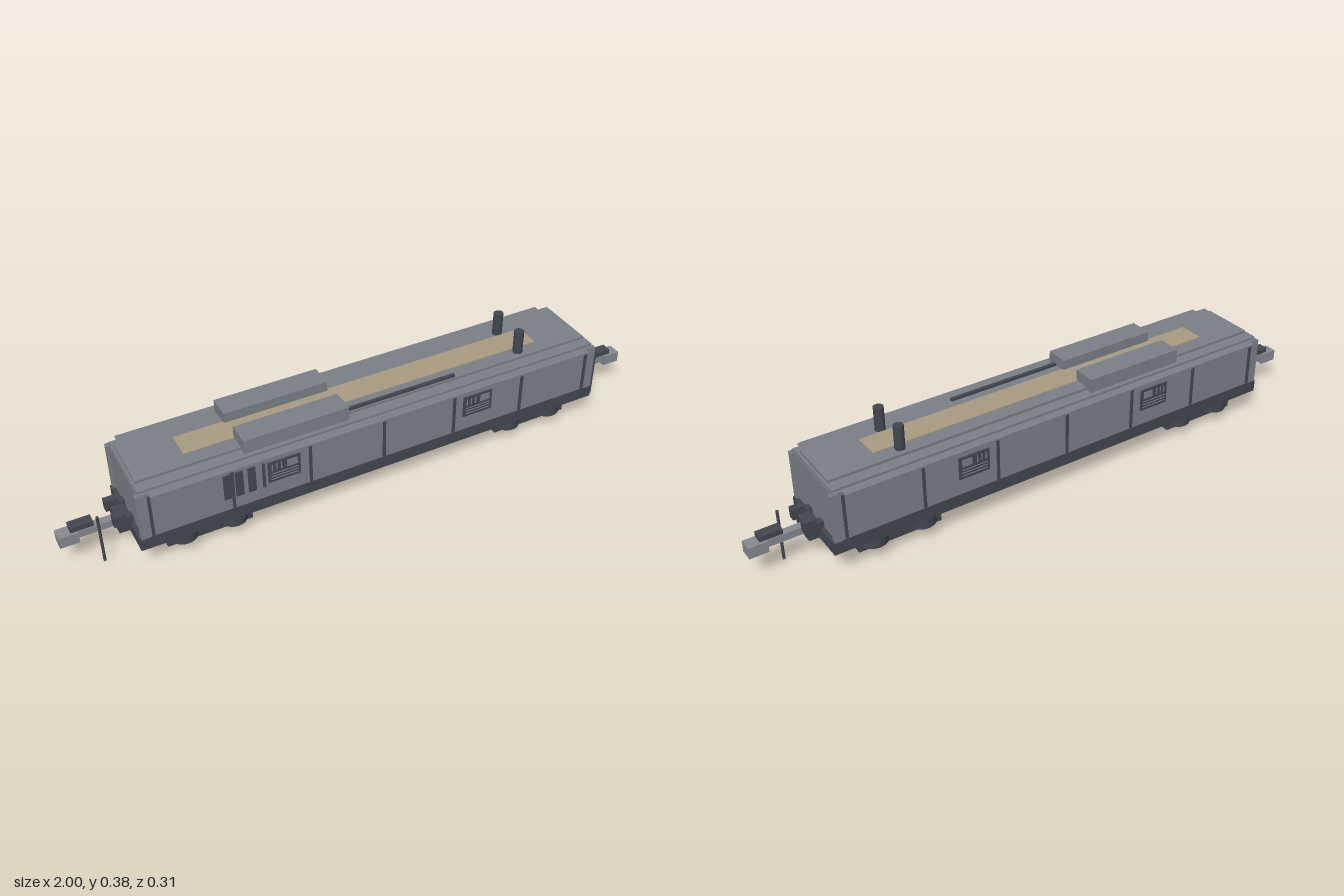
import * as THREE from 'three';

const mat = (name, color) => Object.assign(new THREE.MeshStandardMaterial({ color }), { name });

export function createModel() {
  const root = new THREE.Group();
  root.name = 'locomotive';
  const grey = mat('body grey', 0x7b8088);
  const dark = mat('frame charcoal', 0x434750);
  const tan = mat('walkway tan', 0xa89b82);
  const steel = mat('coupler grey', 0x868a90);

  // Box from minimum and maximum corners
  function box(name, m, x0, x1, y0, y1, z0, z1, parent = root) {
    const mesh = new THREE.Mesh(new THREE.BoxGeometry(x1 - x0, y1 - y0, z1 - z0), m);
    mesh.position.set((x0 + x1) / 2, (y0 + y1) / 2, (z0 + z1) / 2);
    mesh.name = name;
    parent.add(mesh);
    return mesh;
  }
  // Upright cylinder
  function post(name, m, x, y0, y1, z, r, parent = root, sides = 20) {
    const mesh = new THREE.Mesh(new THREE.CylinderGeometry(r, r, y1 - y0, sides), m);
    mesh.position.set(x, (y0 + y1) / 2, z);
    mesh.name = name;
    parent.add(mesh);
    return mesh;
  }

  // Underframe, body and stepped roof
  box('underframe', dark, -0.795, 0.795, 0.083, 0.124, -0.136, 0.136);
  box('body', grey, -0.782, 0.782, 0.124, 0.286, -0.134, 0.134);
  box('lowerRoof', grey, -0.78, 0.78, 0.286, 0.294, -0.126, 0.126);
  box('upperRoof', grey, -0.772, 0.772, 0.294, 0.303, -0.089, 0.089);
  box('roofWalkway', tan, -0.61, 0.61, 0.303, 0.307, -0.043, 0.043);
  box('roofPipe', dark, -0.107, 0.28, 0.303, 0.312, 0.075, 0.085);

  for (const s of [-1, 1]) {
    const side = new THREE.Group();
    side.name = s > 0 ? 'frontSide' : 'backSide';
    root.add(side);
    // Box on this side, with z measured outwards
    const wall = (name, m, x0, x1, y0, y1, z0, z1) =>
      box(name, m, x0, x1, y0, y1, Math.min(s * z0, s * z1), Math.max(s * z0, s * z1), side);

    wall('gutter', grey, -0.752, 0.752, 0.28, 0.286, 0.13, 0.155);
    wall('upperTrim', dark, -0.75, 0.75, 0.274, 0.28, 0.13, 0.138);
    wall('radiatorBox', grey, -0.45, -0.108, 0.294, 0.34, 0.034, 0.112);
    post('exhaustStack', dark, 0.532, 0.3, 0.382, s * 0.06, 0.016, side);

    // Pillars and panels between them
    for (let i = -3; i <= 3; i++) {
      const x = i * 0.251;
      wall('pillar', dark, x - 0.004, x + 0.004, 0.128, 0.274, 0.13, 0.14);
      if (i < 3) wall('sidePanel', grey, x + 0.01, x + 0.241, 0.134, 0.272, 0.13, 0.136);
    }
    for (const e of [-1, 1]) {
      const a = e * 0.764, b = e * 0.79;
      wall('cornerPost', grey, Math.min(a, b), Math.max(a, b), 0.124, 0.283, 0.12, 0.137);
    }

    // Louvred equipment panels
    for (const x of [-0.338, 0.335]) {
      wall('grilleFrame', dark, x - 0.052, x + 0.052, 0.18, 0.254, 0.134, 0.141);
      wall('grilleHatch', grey, x + 0.008, x + 0.042, 0.222, 0.246, 0.139, 0.143);
      for (let j = 0; j < 3; j++)
        wall('grilleSlat', grey, x - 0.044, x + 0.044, 0.19 + j * 0.01, 0.192 + j * 0.01, 0.139, 0.143);
      for (let j = 0; j < 3; j++)
        wall('grilleBar', grey, x - 0.042 + j * 0.015, x - 0.038 + j * 0.015, 0.222, 0.246, 0.139, 0.142);
    }
    // Tall vents on one side only
    if (s > 0) for (const x of [-0.519, -0.481, -0.442, -0.404])
      wall('tallVent', dark, x - (x > -0.42 ? 0.004 : 0.012), x + (x > -0.42 ? 0.004 : 0.012), 0.17, 0.258, 0.134, 0.141);
  }

  // Bogies
  for (const cx of [-0.572, 0.572]) {
    const bogie = new THREE.Group();
    bogie.name = 'bogie';
    root.add(bogie);
    box('bogieFrame', dark, cx - 0.136, cx + 0.136, 0.034, 0.073, -0.105, 0.105, bogie);
    box('bolster', grey, cx - 0.06, cx + 0.06, 0.073, 0.084, -0.088, 0.088, bogie);
    for (const dx of [-0.08, 0.08]) for (const z of [-0.085, 0.085])
      post('axleDrum', dark, cx + dx, 0.044, 0.078, z, 0.045, bogie, 24);
  }

  // Coupler at each end
  for (const e of [-1, 1]) {
    const end = new THREE.Group();
    end.name = 'couplerAssembly';
    root.add(end);
    const part = (name, m, x0, x1, y0, y1, z0, z1) =>
      box(name, m, Math.min(e * x0, e * x1), Math.max(e * x0, e * x1), y0, y1, z0, z1, end);
    part('headstock', dark, 0.79, 0.828, 0.087, 0.138, -0.04, 0.04);
    for (const z of [-0.039, 0.039]) {
      part('bracket', dark, 0.803, 0.842, 0.124, 0.16, z - 0.012, z + 0.012);
      part('bracketFoot', dark, 0.782, 0.815, 0.122, 0.145, z - 0.012, z + 0.012);
    }
    part('shank', steel, 0.82, 0.945, 0.098, 0.122, -0.013, 0.013);
    part('couplerHead', steel, 0.94, 1.0, 0.088, 0.125, -0.022, 0.022);
    part('couplerLever', dark, 0.892, 0.962, 0.128, 0.145, -0.017, 0.017);
    part('leverMount', dark, 0.91, 0.945, 0.12, 0.13, -0.01, 0.01);
    post('markerRod', dark, e * 0.883, 0, 0.172, 0.035, 0.0045, end, 12);
  }
  return root;
}
